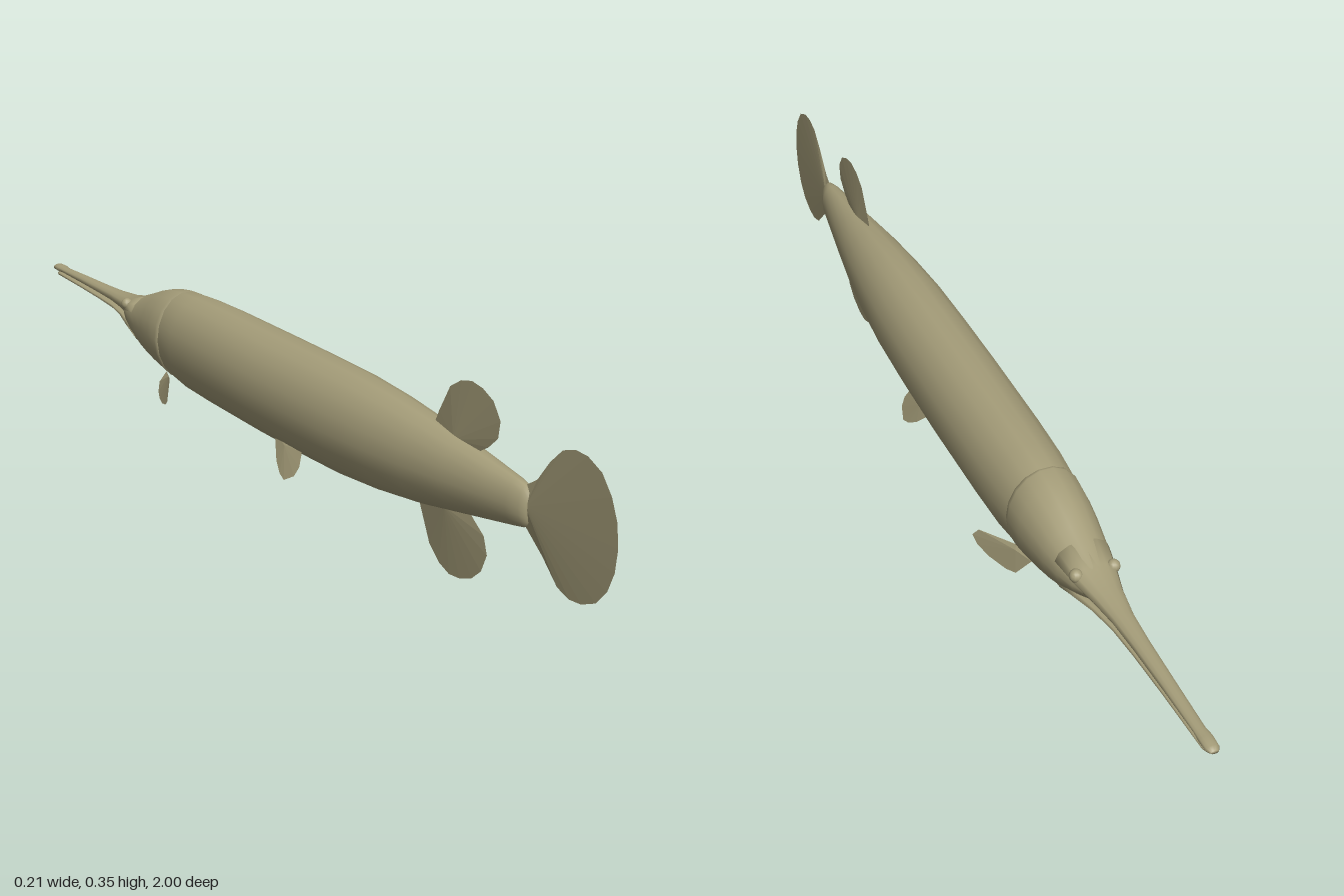
import * as THREE from 'three';

const skin = new THREE.MeshStandardMaterial({ color: 0xa69e7a, side: THREE.DoubleSide });
skin.name = 'olive skin';

// Smooth closed loft through oval sections [z, bottom y, top y, half width, widest y (optional)]
function loft(name, sections, sides = 18) {
  const pos = [], idx = [], n = sections.length;
  sections.forEach(([z, y0, y1, w, mid = (y0 + y1) / 2]) => {
    for (let j = 0; j < sides; j++) {
      const a = (j / sides) * Math.PI * 2, s = Math.sin(a);
      pos.push(Math.cos(a) * w, mid + s * (s > 0 ? y1 - mid : mid - y0), z);
    }
  });
  for (let i = 0; i < n - 1; i++) {
    for (let j = 0; j < sides; j++) {
      const k = (j + 1) % sides, r = i * sides, q = r + sides;
      idx.push(r + j, r + k, q + k, r + j, q + k, q + j);
    }
  }
  // end caps
  [0, n - 1].forEach((i) => {
    const [z, y0, y1, , mid = (y0 + y1) / 2] = sections[i];
    const c = pos.length / 3;
    pos.push(0, mid, z);
    for (let j = 0; j < sides; j++) {
      const a = i * sides + j, b = i * sides + ((j + 1) % sides);
      if (i) idx.push(c, a, b); else idx.push(c, b, a);
    }
  });
  const g = new THREE.BufferGeometry();
  g.setAttribute('position', new THREE.Float32BufferAttribute(pos, 3));
  g.setIndex(idx);
  g.computeVertexNormals();
  const mesh = new THREE.Mesh(g, skin);
  mesh.name = name;
  return mesh;
}

// Thin fin: two fans from a thickened root down to a sharp outline
function fin(name, outline, root, normal, thickness) {
  const pos = [];
  const rim = outline.map((p) => new THREE.Vector3(...p));
  const n = new THREE.Vector3(...normal).normalize();
  [1, -1].forEach((side) => {
    const c = new THREE.Vector3(...root).addScaledVector(n, side * thickness);
    rim.forEach((p, i) => {
      const q = rim[(i + 1) % rim.length];
      const tri = side > 0 ? [c, q, p] : [c, p, q];
      tri.forEach((v) => pos.push(v.x, v.y, v.z));
    });
  });
  const g = new THREE.BufferGeometry();
  g.setAttribute('position', new THREE.Float32BufferAttribute(pos, 3));
  g.computeVertexNormals();
  const mesh = new THREE.Mesh(g, skin);
  mesh.name = name;
  return mesh;
}

export function createModel() {
  const fish = new THREE.Group();
  fish.name = 'longNosedFish';

  // Trunk, from behind the gill covers to the tail root
  fish.add(loft('body', [
    [-0.42, 0.10, 0.255, 0.058], [-0.37, 0.088, 0.268, 0.069], [-0.3, 0.08, 0.273, 0.075],
    [-0.2, 0.078, 0.275, 0.078], [0, 0.077, 0.275, 0.08], [0.15, 0.078, 0.275, 0.079],
    [0.28, 0.081, 0.274, 0.076], [0.4, 0.09, 0.268, 0.068], [0.5, 0.103, 0.259, 0.058],
    [0.6, 0.121, 0.247, 0.045], [0.7, 0.139, 0.235, 0.031], [0.75, 0.148, 0.229, 0.024],
    [0.775, 0.153, 0.224, 0.017], [0.785, 0.162, 0.215, 0.009],
  ]));

  // Head with gill covers that slightly overlap the trunk
  fish.add(loft('head', [
    [-0.64, 0.172, 0.197, 0.015], [-0.6, 0.162, 0.203, 0.029], [-0.57, 0.148, 0.211, 0.041],
    [-0.53, 0.127, 0.224, 0.051], [-0.49, 0.112, 0.238, 0.058], [-0.45, 0.101, 0.253, 0.064],
    [-0.41, 0.093, 0.263, 0.069], [-0.37, 0.087, 0.269, 0.072], [-0.355, 0.09, 0.267, 0.069],
  ]));

  // Long narrow jaws
  fish.add(loft('upperJaw', [
    [-1, 0.177, 0.184, 0.007], [-0.992, 0.174, 0.188, 0.012], [-0.97, 0.174, 0.189, 0.013],
    [-0.95, 0.175, 0.187, 0.011], [-0.85, 0.174, 0.191, 0.013], [-0.75, 0.173, 0.194, 0.016],
    [-0.68, 0.172, 0.197, 0.02], [-0.62, 0.17, 0.202, 0.029], [-0.57, 0.168, 0.211, 0.041],
    [-0.52, 0.167, 0.226, 0.05],
  ], 12));
  fish.add(loft('lowerJaw', [
    [-0.985, 0.166, 0.172, 0.005], [-0.975, 0.165, 0.173, 0.009], [-0.85, 0.163, 0.172, 0.011],
    [-0.75, 0.161, 0.171, 0.014], [-0.68, 0.159, 0.17, 0.018], [-0.62, 0.155, 0.168, 0.027],
    [-0.57, 0.145, 0.166, 0.038], [-0.52, 0.126, 0.164, 0.044],
  ], 12));

  // Upright fins on the centre line, outlines as [z, y]
  const upright = (list) => list.map(([z, y]) => [0, y, z]);
  fish.add(fin('tailFin', upright([
    [0.76, 0.215], [0.8, 0.24], [0.83, 0.278], [0.86, 0.306], [0.89, 0.316], [0.92, 0.315],
    [0.955, 0.3], [0.98, 0.27], [0.995, 0.235], [1, 0.195], [0.995, 0.155], [0.98, 0.12],
    [0.955, 0.092], [0.92, 0.077], [0.89, 0.074], [0.86, 0.083], [0.82, 0.12], [0.76, 0.165],
  ]), [0, 0.19, 0.78], [1, 0, 0], 0.006));
  fish.add(fin('dorsalFin', upright([
    [0.51, 0.235], [0.53, 0.275], [0.56, 0.325], [0.59, 0.343], [0.62, 0.35], [0.65, 0.346],
    [0.68, 0.333], [0.7, 0.305], [0.695, 0.275], [0.67, 0.253], [0.63, 0.23],
  ]), [0, 0.24, 0.58], [1, 0, 0], 0.006));
  fish.add(fin('analFin', upright([
    [0.47, 0.115], [0.49, 0.075], [0.51, 0.035], [0.54, 0.01], [0.57, 0], [0.6, 0.003],
    [0.635, 0.016], [0.66, 0.037], [0.675, 0.07], [0.665, 0.1], [0.62, 0.13],
  ]), [0, 0.118, 0.56], [1, 0, 0], 0.006));

  // Paired fins
  [[1, 'left'], [-1, 'right']].forEach(([s, side]) => {
    // pectoral fins sweep outward and back, outline as [x, y]
    const pectoral = ([x, y]) => [s * x, y, -0.38 + (x - 0.035) * 1.3];
    fish.add(fin(side + 'PectoralFin', [
      [0.031, 0.085], [0.05, 0.046], [0.062, 0.047], [0.083, 0.061], [0.098, 0.079],
      [0.104, 0.097], [0.096, 0.113], [0.05, 0.111],
    ].map(pectoral), pectoral([0.05, 0.1]), [s * 1.3, 0, -1], 0.003));

    // pelvic fins lean outward and down, outline as [z, y]
    const pelvic = ([z, y]) => [s * (0.045 + (0.1 - y) * 0.47), y, z];
    fish.add(fin(side + 'PelvicFin', [
      [0.06, 0.108], [0.1, 0.066], [0.125, 0.05], [0.145, 0.044], [0.17, 0.058],
      [0.175, 0.075], [0.165, 0.1], [0.12, 0.11],
    ].map(pelvic), pelvic([0.11, 0.095]), [s, 0.47, 0], 0.003));

    // small raised eyes
    const eye = new THREE.Mesh(new THREE.SphereGeometry(0.012, 12, 8), skin);
    eye.name = side + 'Eye';
    eye.position.set(s * 0.034, 0.199, -0.57);
    fish.add(eye);
  });

  return fish;
}
